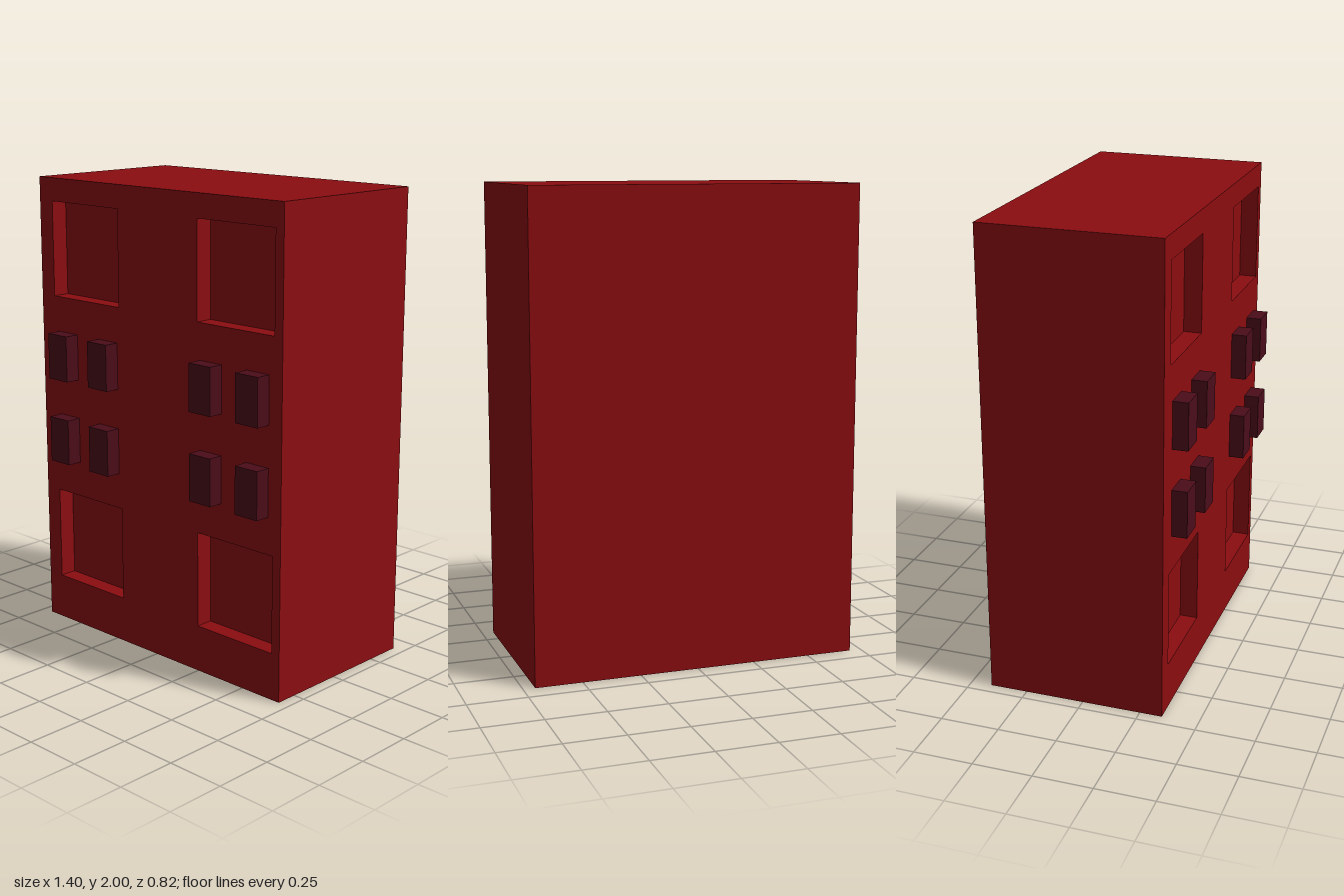
import * as THREE from 'three';
import { mergeGeometries } from 'three/addons/utils/BufferGeometryUtils.js';

const W = 1.4, H = 2, BACK = -0.41, FRONT = 0.345;
const RECESS = { size: 0.41, depth: 0.075, xs: [-0.415, 0.453], ys: [0.405, 1.695] };
const BUTTON = { w: 0.117, h: 0.2, d: 0.065, xs: [-0.534, -0.282, 0.322, 0.574], ys: [0.865, 1.237] };

// Box without its +z face; inward = true turns it inside out
function openBox(w, h, d, inward = false) {
  const g = new THREE.BoxGeometry(w, h, d);
  const index = Array.from(g.index.array);
  index.splice(24, 6);
  if (inward) {
    index.reverse();
    const n = g.attributes.normal;
    for (let i = 0; i < n.array.length; i++) n.array[i] *= -1;
  }
  g.setIndex(index);
  g.clearGroups();
  return g;
}

// Closed cabinet: five outer walls, pierced front and four square pockets
function cabinetGeometry() {
  const depth = FRONT - BACK;
  const parts = [openBox(W, H, depth).translate(0, H / 2, (FRONT + BACK) / 2)];
  const face = new THREE.Shape([
    new THREE.Vector2(-W / 2, 0), new THREE.Vector2(W / 2, 0),
    new THREE.Vector2(W / 2, H), new THREE.Vector2(-W / 2, H),
  ]);
  const s = RECESS.size, r = s / 2;
  for (const x of RECESS.xs) for (const y of RECESS.ys) {
    face.holes.push(new THREE.Path([
      new THREE.Vector2(x - r, y - r), new THREE.Vector2(x - r, y + r),
      new THREE.Vector2(x + r, y + r), new THREE.Vector2(x + r, y - r),
    ]));
    parts.push(openBox(s, s, RECESS.depth, true).translate(x, y, FRONT - RECESS.depth / 2));
  }
  parts.push(new THREE.ShapeGeometry(face).translate(0, 0, FRONT));
  return mergeGeometries(parts);
}

export function createModel() {
  const model = new THREE.Group();
  const red = new THREE.MeshStandardMaterial({ color: 0x8c0d11 });
  const maroon = new THREE.MeshStandardMaterial({ color: 0x4b0d1a });

  const cabinet = new THREE.Mesh(cabinetGeometry(), red);
  cabinet.name = 'cabinet';
  model.add(cabinet);

  // Two rows of four raised buttons
  const buttons = new THREE.Group();
  buttons.name = 'buttons';
  const buttonGeometry = new THREE.BoxGeometry(BUTTON.w, BUTTON.h, BUTTON.d);
  for (const y of BUTTON.ys) for (const x of BUTTON.xs) {
    const button = new THREE.Mesh(buttonGeometry, maroon);
    button.name = 'button';
    button.position.set(x, y, FRONT + BUTTON.d / 2);
    buttons.add(button);
  }
  model.add(buttons);
  return model;
}
